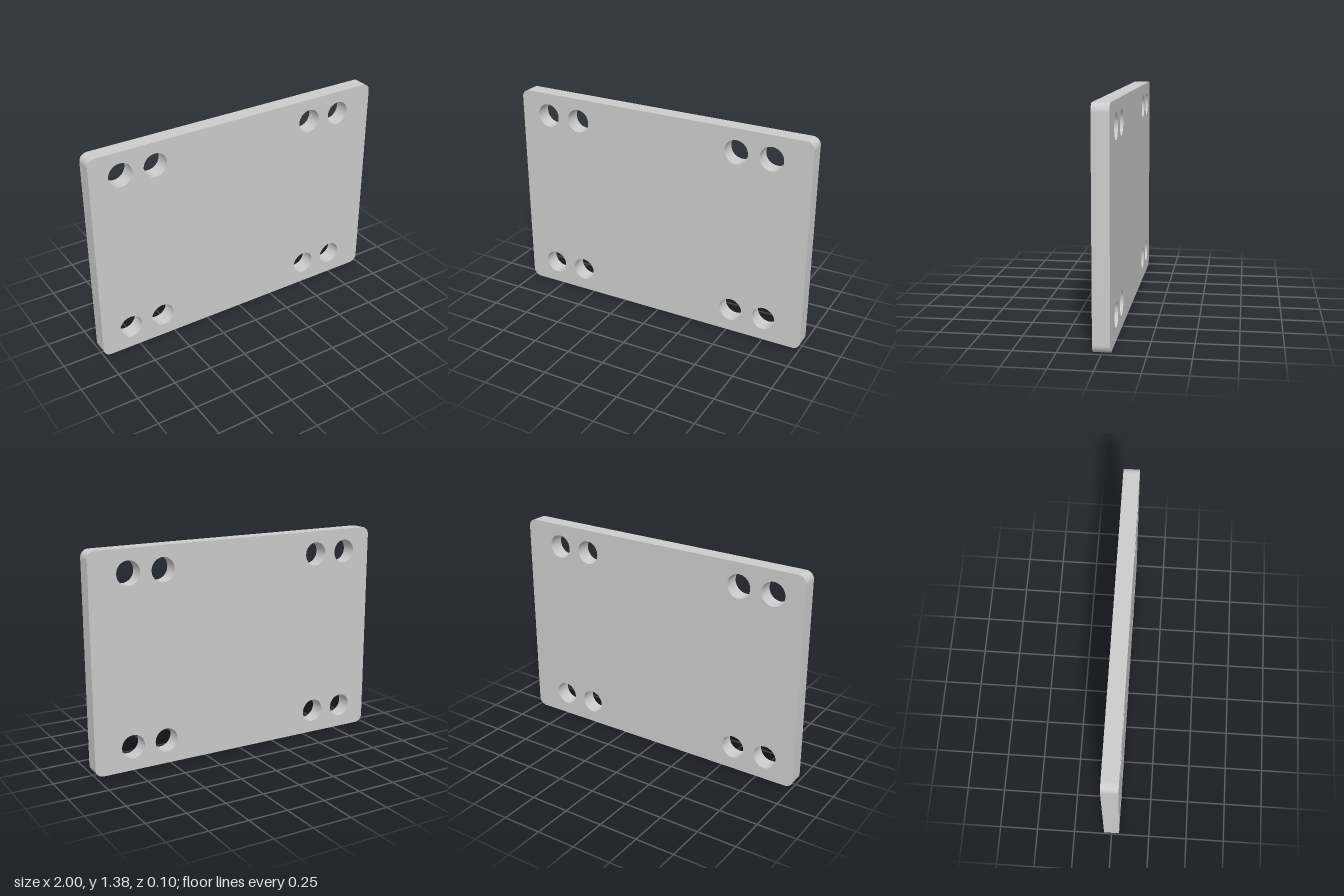
import * as THREE from 'three';
import { toCreasedNormals } from 'three/addons/utils/BufferGeometryUtils.js';

const HEIGHT = 1.375, DEPTH = 0.1, CORNER = 0.05, HOLE_RADIUS = 0.076;

// Rounded rectangle centred on x, standing on y = 0
function roundedRect(w, h, r) {
  const s = new THREE.Shape();
  const x = w / 2 - r;
  s.absarc(x, r, r, -Math.PI / 2, 0);
  s.absarc(x, h - r, r, 0, Math.PI / 2);
  s.absarc(-x, h - r, r, Math.PI / 2, Math.PI);
  s.absarc(-x, r, r, Math.PI, Math.PI * 1.5);
  s.closePath();
  return s;
}

export function createModel() {
  const group = new THREE.Group();
  group.name = 'mountingPlate';

  // Plate outline with a pair of through holes at each corner
  const outline = roundedRect(2, HEIGHT, CORNER);
  for (const x of [-0.803, -0.578, 0.523, 0.748]) {
    for (const y of [0.152, 1.227]) {
      outline.holes.push(new THREE.Path().absarc(x, y, HOLE_RADIUS, 0, Math.PI * 2, true));
    }
  }

  // Straight extrusion: smooth bores and corners, sharp face edges
  const geometry = new THREE.ExtrudeGeometry(outline, {
    depth: DEPTH, bevelEnabled: false, curveSegments: 20,
  });
  geometry.translate(0, 0, -DEPTH / 2);
  const plate = new THREE.Mesh(
    toCreasedNormals(geometry, 0.5),
    new THREE.MeshStandardMaterial({ color: 0xcccccc }),
  );
  plate.name = 'plate';
  group.add(plate);
  return group;
}
